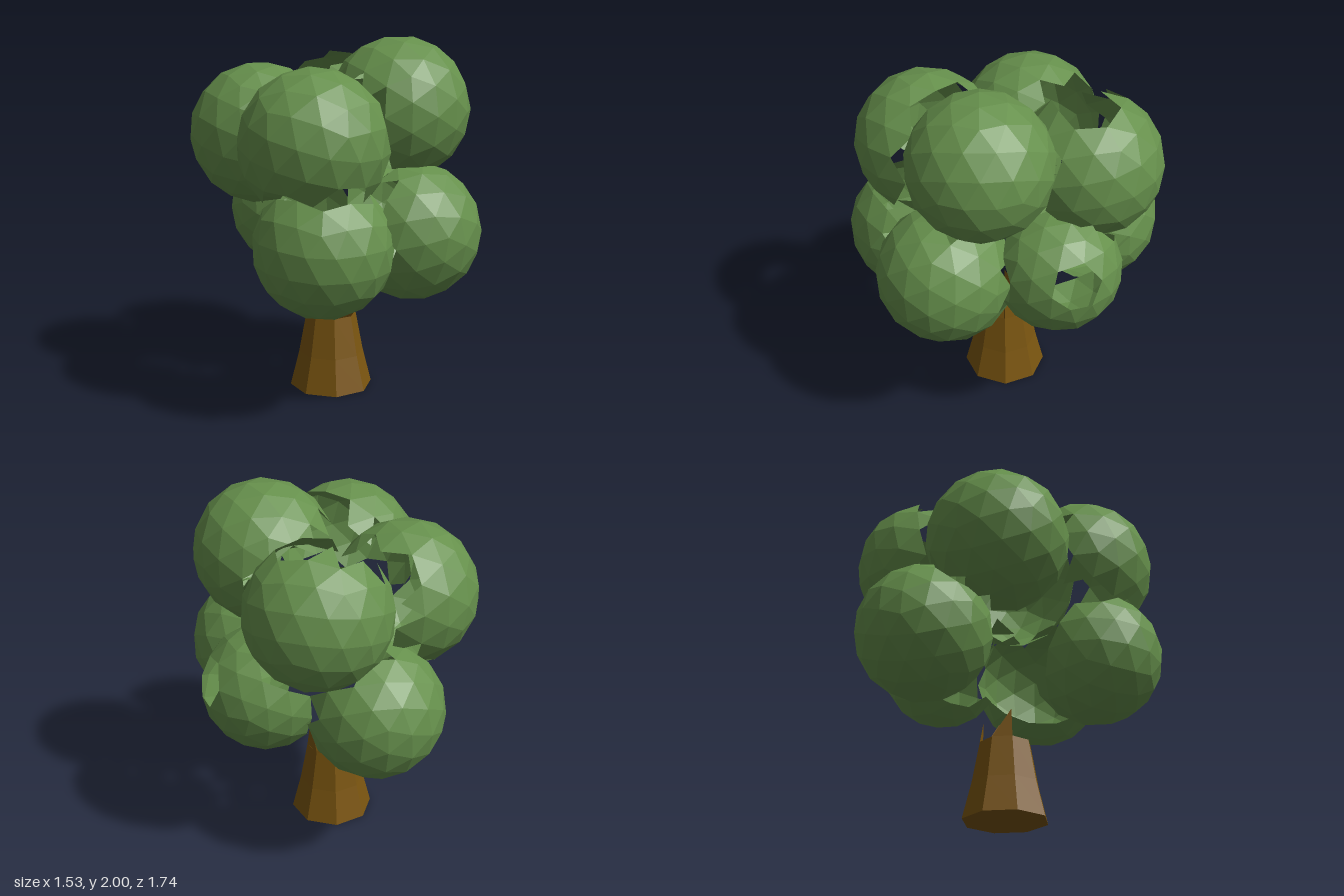
import * as THREE from 'three';

const leafGreen = new THREE.MeshStandardMaterial({ color: 0x66904c, side: THREE.DoubleSide });
leafGreen.name = 'leafGreen';
const barkBrown = new THREE.MeshStandardMaterial({ color: 0x7a5510, side: THREE.DoubleSide });
barkBrown.name = 'barkBrown';

// Foliage balls: centre, radius, and openings as [direction x, y, z, cosine of half angle]
const balls = [
  { name: 'foliageUpperLeft', c: [0.35, 1.615, 0.13], r: 0.39,
    open: [[-0.8, -0.35, -0.2, 0.62]] },
  { name: 'foliageUpperFront', c: [-0.145, 1.475, 0.42], r: 0.4,
    open: [[0.75, 0.1, -0.65, 0.5], [0, -1, 0.1, 0.6]] },
  { name: 'foliageUpperRight', c: [-0.38, 1.455, -0.15], r: 0.395,
    open: [[0.7, 0.3, -0.65, 0.75], [0.9, -0.3, 0.2, 0.6]] },
  { name: 'foliageUpperBack', c: [0.125, 1.49, -0.445], r: 0.395,
    open: [[-0.1, -0.5, 0.85, 0.58], [-0.45, 0.85, 0.15, 0.86], [0.2, 0.97, 0.1, 0.96]] },
  { name: 'foliageLowerFront', c: [-0.105, 0.945, 0.5], r: 0.375,
    open: [[0.4, 0.45, -0.8, 0.5]] },
  { name: 'foliageLowerLeft', c: [0.395, 0.98, 0.32], r: 0.375,
    open: [[-0.95, 0.1, -0.2, 0.4]] },
  { name: 'foliageLowerBackLeft', c: [0.39, 1.005, -0.275], r: 0.345,
    open: [[-0.9, 0.1, 0.3, 0.5], [0.9, 0.35, -0.25, 0.95]] },
  { name: 'foliageLowerBack', c: [-0.165, 0.955, -0.5], r: 0.375,
    open: [[0.75, 0.15, 0.65, 0.5]] },
].map(b => ({
  ...b,
  c: new THREE.Vector3(...b.c),
  open: b.open.map(([x, y, z, cos]) => ({ dir: new THREE.Vector3(x, y, z).normalize(), cos })),
}));

// Faceted ball shell without the faces in its openings or buried in other balls
function ballGeometry(ball, index) {
  const source = new THREE.IcosahedronGeometry(ball.r, 2);
  source.rotateX(index * 1.3).rotateY(index * 0.9);
  const pos = source.attributes.position;
  const kept = [];
  for (let i = 0; i < pos.count; i += 3) {
    const tri = [0, 1, 2].map(k => new THREE.Vector3().fromBufferAttribute(pos, i + k));
    const mid = new THREE.Vector3().add(tri[0]).add(tri[1]).add(tri[2]).divideScalar(3);
    const normal = mid.clone().normalize();
    const inOpening = ball.open.some(o => normal.dot(o.dir) > o.cos);
    mid.add(ball.c);
    const buried = balls.some(o => o !== ball && mid.distanceTo(o.c) < o.r * 0.98);
    if (!inOpening && !buried) tri.forEach(p => kept.push(p.x, p.y, p.z));
  }
  return facetGeometry(kept);
}

function facetGeometry(points) {
  const geometry = new THREE.BufferGeometry();
  geometry.setAttribute('position', new THREE.Float32BufferAttribute(points, 3));
  geometry.computeVertexNormals();
  return geometry;
}

// Eight-sided tapering trunk, closed below and open above
function trunkGeometry() {
  const profile = [[0, 0], [0.235, 0], [0.185, 0.2], [0.142, 0.43]].map(p => new THREE.Vector2(...p));
  const geometry = new THREE.LatheGeometry(profile, 8).toNonIndexed();
  geometry.computeVertexNormals();
  return geometry;
}

// Splinters rising from single sides of the trunk rim
const splinters = {
  splinterLeft: [0.142, 0.43, 0, 0.1, 0.43, -0.1, 0.123, 0.59, 0],
  splinterRight: [-0.1, 0.43, -0.1, -0.142, 0.43, 0, -0.123, 0.59, 0],
  splinterBack: [0.1, 0.43, -0.1, 0, 0.43, -0.142, 0.04, 0.56, -0.112],
};

export function createModel() {
  const tree = new THREE.Group();
  tree.name = 'tree';
  const add = (parent, name, geometry, material) => {
    const mesh = new THREE.Mesh(geometry, material);
    mesh.name = name;
    parent.add(mesh);
    return mesh;
  };

  add(tree, 'trunk', trunkGeometry(), barkBrown);
  for (const [name, points] of Object.entries(splinters)) add(tree, name, facetGeometry(points), barkBrown);

  const crown = new THREE.Group();
  crown.name = 'crown';
  balls.forEach((ball, i) => add(crown, ball.name, ballGeometry(ball, i), leafGreen).position.copy(ball.c));
  tree.add(crown);
  return tree;
}
